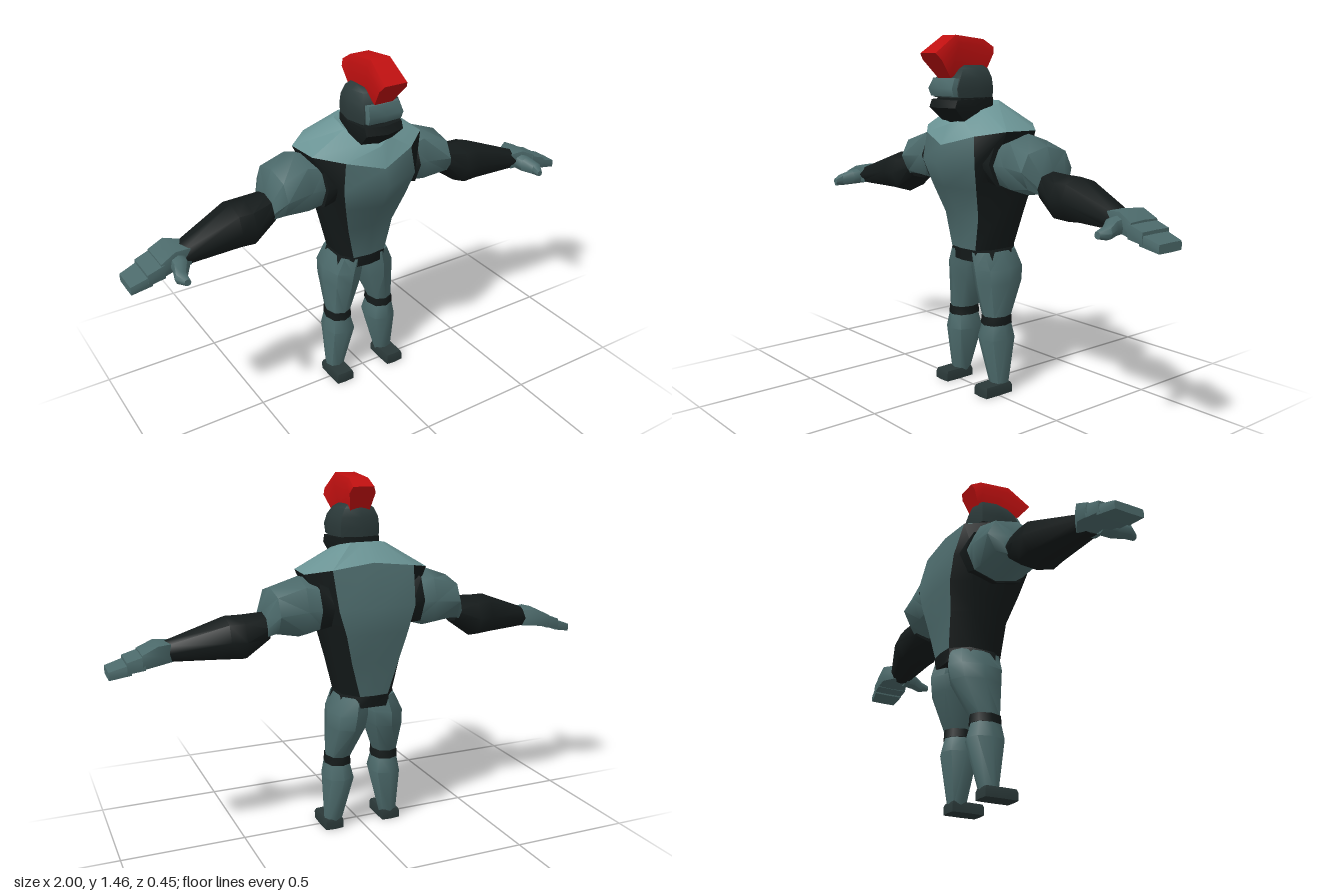
import * as THREE from 'three';
import { toCreasedNormals } from 'three/addons/utils/BufferGeometryUtils.js';

const mat = (color) => new THREE.MeshStandardMaterial({ color, side: THREE.DoubleSide });
const LIGHT = mat(0x6a9394), TEAL = mat(0x4c6a6b), DARK = mat(0x141a1a), SKULL = mat(0x2a3838), RED = mat(0xc01010);
const V = (x, y, z) => new THREE.Vector3(x, y, z);

// Skin a list of equal-length point rings; faces are turned away from the centre.
function loft(name, rings, material, { closed = true, centre = null, crease = 0.9 } = {}) {
  const n = rings[0].length, flat = rings.flat(), tris = [];
  const mid = centre || flat.reduce((s, p) => s.add(p), V(0, 0, 0)).divideScalar(flat.length);
  for (let i = 0; i < rings.length - 1; i++)
    for (let j = 0; j < (closed ? n : n - 1); j++) {
      const k = (j + 1) % n, a = rings[i][j], b = rings[i][k], c = rings[i + 1][k], d = rings[i + 1][j];
      tris.push([a, b, c], [a, c, d]);
    }
  if (closed) {
    const first = rings[0], last = rings[rings.length - 1];
    for (let j = 1; j < n - 1; j++) {
      tris.push([first[0], first[j + 1], first[j]], [last[0], last[j], last[j + 1]]);
    }
  }
  let volume = 0;
  for (const [a, b, c] of tris)
    volume += a.clone().sub(mid).dot(b.clone().sub(mid).cross(c.clone().sub(mid)));
  const points = tris.flatMap(([a, b, c]) => (volume < 0 ? [a, c, b] : [a, b, c]));
  const geometry = new THREE.BufferGeometry().setFromPoints(points);
  const mesh = new THREE.Mesh(toCreasedNormals(geometry, crease), material);
  mesh.name = name;
  return mesh;
}

// Eight-sided ring; k squares off the corners (0.71 round, 1 box).
function octagon(place, ru, rv, k = 0.74) {
  return [[1, 0], [k, k], [0, 1], [-k, k], [-1, 0], [-k, -k], [0, -1], [k, -k]].map(([u, v]) => place(u * ru, v * rv));
}
// Ring across a limb running along x: [x, yLow, yHigh, zBack, zFront]
const xRing = (s, k) => ([x, y0, y1, z0, z1]) =>
  octagon((u, v) => V(s * x, (y0 + y1) / 2 + u, (z0 + z1) / 2 + v), (y1 - y0) / 2, (z1 - z0) / 2, k);
// Ring across a limb running along y: [y, xInner, xOuter, zBack, zFront]
const yRing = (s, k) => ([y, x0, x1, z0, z1]) =>
  octagon((u, v) => V(s * ((x0 + x1) / 2 + u), y, (z0 + z1) / 2 + v), (x1 - x0) / 2, (z1 - z0) / 2, k);

function torso() {
  const g = new THREE.Group();
  g.name = 'torso';
  // Half rings from front centre round to back centre
  const level = (y, ...xz) => xz.map(([x, z]) => V(x, y, z));
  const waist = level(0.6, [0, 0.06], [0.075, 0.05], [0.11, 0], [0.11, -0.11], [0.06, -0.175], [0, -0.18]);
  const lowBelt = level(0.55, [0, 0.055], [0.07, 0.045], [0.125, 0], [0.125, -0.11], [0.07, -0.17], [0, -0.17]);
  const collarLow = [V(0, 1.03, 0.165), V(0.15, 1.07, 0.12), V(0.25, 1.09, 0.04),
    V(0.26, 1.09, -0.1), V(0.17, 1.11, -0.17), V(0, 1.13, -0.17)];
  const collarTop = [V(0, 1.11, 0.13), V(0.06, 1.13, 0.1), V(0.1, 1.17, 0.03),
    V(0.1, 1.19, -0.05), V(0.06, 1.2, -0.085), V(0, 1.2, -0.085)];
  const body = [waist,
    level(0.74, [0, 0.075], [0.105, 0.06], [0.145, 0], [0.145, -0.11], [0.1, -0.19], [0, -0.195]),
    level(0.86, [0, 0.145], [0.14, 0.1], [0.17, 0.03], [0.17, -0.13], [0.13, -0.21], [0, -0.22]),
    level(0.96, [0, 0.19], [0.165, 0.13], [0.19, 0.05], [0.19, -0.13], [0.16, -0.21], [0, -0.222]),
    collarLow];
  const centre = V(0, 0.85, -0.03);
  const opposite = (p) => V(-p.x, p.y, p.z);
  // Front and back run across the middle line, sides are mirrored
  const across = (row, a, b) => a === 0
    ? [...row.slice(1, b + 1).reverse().map(opposite), ...row.slice(0, b + 1)]
    : [...row.slice(a), ...row.slice(a, -1).reverse().map(opposite)];
  const strip = (name, rows, a, b, m) => g.add(loft(name, rows.map((r) => across(r, a, b)), m, { closed: false, centre, crease: 1.1 }));
  strip('chest', body, 0, 1, TEAL);
  strip('back', body, 4, 5, TEAL);
  for (const s of [1, -1]) {
    const rows = body.map((r) => r.slice(1, 5).map((p) => V(s * p.x, p.y, p.z)));
    g.add(loft('sidePanel', rows, DARK, { closed: false, centre: V(0, 0.85, -0.04) }));
  }
  const whole = (row) => [...row, ...row.slice(1, -1).reverse().map(opposite)];
  g.add(loft('collar', [collarLow, collarTop].map(whole), LIGHT, { crease: 0.6 }));
  g.add(loft('belt', [lowBelt, waist].map(whole), DARK));
  return g;
}

function arm(s) {
  const g = new THREE.Group();
  g.name = s > 0 ? 'leftArm' : 'rightArm';
  const part = (name, m, rings, k) => g.add(loft(name, rings.map(xRing(s, k)), m));
  part('shoulderStrap', DARK, [[0.16, 0.87, 1.06, -0.19, 0.1], [0.215, 0.85, 1.085, -0.185, 0.1]]);
  part('upperArm', TEAL, [[0.2, 0.86, 1.06, -0.18, 0.08], [0.27, 0.84, 1.08, -0.185, 0.075],
    [0.38, 0.86, 1.04, -0.18, 0.085], [0.415, 0.85, 0.95, -0.13, 0.04]]);
  part('forearm', DARK, [[0.4, 0.84, 0.95, -0.12, 0.03], [0.5, 0.77, 0.945, -0.145, 0.06],
    [0.56, 0.775, 0.945, -0.14, 0.06], [0.79, 0.78, 0.86, -0.055, 0.045]]);
  part('palm', TEAL, [[0.76, 0.785, 0.86, -0.05, 0.04], [0.82, 0.785, 0.865, -0.09, 0.05],
    [0.88, 0.775, 0.835, -0.09, 0.06]], 0.9);
  // Stepped finger joints
  part('knuckles', TEAL, [[0.87, 0.775, 0.83, -0.088, 0.06], [0.935, 0.765, 0.81, -0.08, 0.062]], 0.95);
  part('fingertips', TEAL, [[0.92, 0.76, 0.802, -0.08, 0.06], [1.0, 0.745, 0.778, -0.065, 0.055]], 0.95);
  // Thumb runs forward along z: [z, x, y, radius]
  const thumb = [[0.02, 0.81, 0.815, 0.035], [0.075, 0.815, 0.81, 0.033], [0.12, 0.835, 0.8, 0.025], [0.155, 0.825, 0.795, 0.013]];
  g.add(loft('thumb', thumb.map(([z, x, y, r]) => octagon((u, v) => V(s * (x + u), y + v, z), r, r)), TEAL));
  return g;
}

function leg(s) {
  const g = new THREE.Group();
  g.name = s > 0 ? 'leftLeg' : 'rightLeg';
  const part = (name, m, rings, k) => g.add(loft(name, rings.map(yRing(s, k)), m));
  part('thigh', TEAL, [[0.59, 0, 0.12, -0.17, 0.055], [0.52, -0.005, 0.155, -0.185, 0.052],
    [0.46, 0.005, 0.157, -0.175, 0.045], [0.32, 0.055, 0.155, -0.1, 0.022]]);
  part('knee', DARK, [[0.325, 0.053, 0.158, -0.103, 0.026], [0.29, 0.05, 0.16, -0.105, 0.028]]);
  part('shin', TEAL, [[0.295, 0.055, 0.158, -0.1, 0.025], [0.23, 0.038, 0.17, -0.118, 0.04],
    [0.03, 0.088, 0.163, -0.072, 0.0]]);
  part('foot', SKULL, [[0, 0.088, 0.17, -0.075, 0.07], [0.03, 0.088, 0.17, -0.075, 0.07], [0.043, 0.092, 0.165, -0.07, 0.065]], 0.95);
  return g;
}

function head() {
  const g = new THREE.Group();
  g.name = 'head';
  const ring = (k) => ([y, w, z0, z1, tilt = 0]) =>
    octagon((u, v) => V(u, y + tilt * v, (z0 + z1) / 2 + v), w, (z1 - z0) / 2, k);
  const part = (name, m, rings, k = 0.82) => g.add(loft(name, rings.map(ring(k)), m));
  part('jaw', DARK, [[1.13, 0.085, -0.06, 0.11, -0.2], [1.18, 0.1, -0.055, 0.178, -0.04], [1.21, 0.1, -0.055, 0.165, -0.04]]);
  part('mouthSlit', DARK, [[1.2, 0.092, -0.052, 0.14], [1.23, 0.092, -0.052, 0.14]]);
  part('skull', SKULL, [[1.215, 0.098, -0.053, 0.155], [1.25, 0.1, -0.055, 0.165], [1.29, 0.095, -0.05, 0.145],
    [1.325, 0.075, -0.04, 0.115], [1.34, 0.05, -0.025, 0.09]]);
  part('visor', TEAL, [[1.22, 0.08, 0.08, 0.16], [1.25, 0.083, 0.08, 0.172], [1.29, 0.075, 0.08, 0.152]], 0.9);
  // Crest sections from brow to nape: [zBase, yBase, zTop, yTop, halfWidth]
  const crest = [[0.145, 1.29, 0.225, 1.385, 0.06], [0.09, 1.32, 0.12, 1.455, 0.052],
    [0.02, 1.325, -0.02, 1.44, 0.05], [-0.03, 1.31, -0.07, 1.41, 0.055]];
  const sections = crest.map(([zb, yb, zt, yt, w]) =>
    [[-0.04, 0], [0.04, 0], [w, 0.75], [w * 0.8, 1], [-w * 0.8, 1], [-w, 0.75]]
      .map(([x, t]) => V(x, yb + (yt - yb) * t, zb + (zt - zb) * t)));
  g.add(loft('crest', sections, RED, { crease: 1.1 }));
  return g;
}

export function createModel() {
  const model = new THREE.Group();
  model.name = 'armouredFigure';
  model.add(torso(), head());
  for (const s of [1, -1]) model.add(arm(s), leg(s));
  return model;
}
